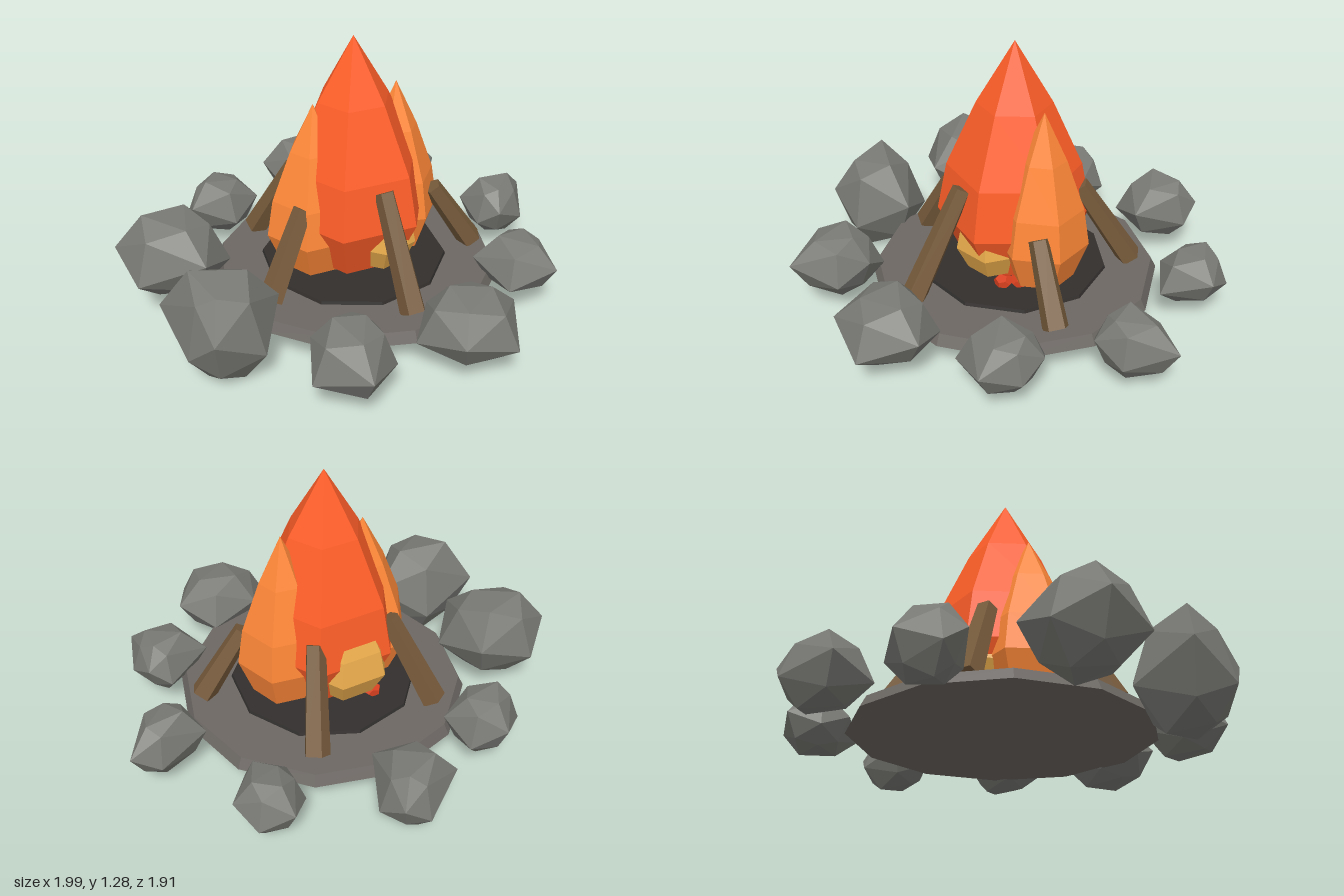
import * as THREE from 'three';
import { ConvexGeometry } from 'three/addons/geometries/ConvexGeometry.js';

const mat = (color) => new THREE.MeshStandardMaterial({ color, flatShading: true });

// Faceted stone: a wide waist following an x/z outline, with smaller rings above and below
function rockGeometry(y0, y1, outline) {
  const cx = outline.reduce((sum, p) => sum + p[0], 0) / outline.length;
  const cz = outline.reduce((sum, p) => sum + p[1], 0) / outline.length;
  const points = [];
  outline.forEach(([x, z], i) => {
    const odd = i % 2;
    const ring = (scale, level) => points.push(new THREE.Vector3(
      cx + (x - cx) * scale, y0 + (y1 - y0) * level, cz + (z - cz) * scale));
    ring(1, odd ? 0.36 : 0.6);
    ring(odd ? 0.68 : 0.48, odd ? 0.84 : 1 - 0.02 * i);
    ring(odd ? 0.48 : 0.68, odd ? 0.02 * (i - 1) : 0.18);
  });
  return new ConvexGeometry(points);
}

// Six-sided teardrop flame, closed at the bottom
function flameGeometry(radius, height) {
  const profile = [[0, 0], [0.7, 0], [1, 0.22], [0.87, 0.44], [0.48, 0.73], [0, 1]];
  return new THREE.LatheGeometry(
    profile.map(([r, y]) => new THREE.Vector2(r * radius, y * height)), 6);
}

export function createModel() {
  const group = new THREE.Group();
  const add = (name, geo, material, x = 0, y = 0, z = 0) => {
    const mesh = new THREE.Mesh(geo, material);
    mesh.name = name;
    mesh.position.set(x, y, z);
    group.add(mesh);
    return mesh;
  };

  // Ash bed and charred centre
  add('ashBed', new THREE.CylinderGeometry(0.645, 0.67, 0.05, 12), mat(0x6c6763), 0.033, 0.165, -0.03);
  add('charredCentre', new THREE.CylinderGeometry(0.43, 0.435, 0.015, 10), mat(0x322f2d), 0.025, 0.197, -0.035);

  // Ring of stones: bottom, top and outline of each
  const stone = mat(0x787874);
  [
    [0.08, 0.38, [[-0.24, -0.84], [-0.19, -0.93], [0, -0.96], [0.11, -0.84], [0.06, -0.68], [-0.12, -0.66]]],
    [0.09, 0.4, [[0.32, -0.87], [0.56, -0.88], [0.64, -0.8], [0.63, -0.68], [0.43, -0.53], [0.27, -0.66]]],
    [0.1, 0.36, [[0.87, -0.44], [0.97, -0.33], [0.95, -0.19], [0.74, -0.1], [0.67, -0.26], [0.72, -0.39]]],
    [0.08, 0.37, [[0.68, 0.15], [0.91, 0.21], [0.99, 0.31], [0.8, 0.44], [0.65, 0.4], [0.61, 0.3]]],
    [0.1, 0.37, [[0.24, 0.49], [0.48, 0.51], [0.53, 0.6], [0.5, 0.73], [0.37, 0.85], [0.18, 0.72]]],
    [0.08, 0.39, [[-0.18, 0.51], [0.03, 0.6], [0.06, 0.8], [-0.15, 0.95], [-0.36, 0.82], [-0.36, 0.58]]],
    [0.09, 0.4, [[-0.67, 0.27], [-0.47, 0.32], [-0.45, 0.45], [-0.52, 0.6], [-0.75, 0.65], [-0.83, 0.41]]],
    [0, 0.5, [[-0.91, -0.35], [-0.63, -0.25], [-0.55, 0], [-0.78, 0.13], [-0.98, 0.04], [-1, -0.1]]],
    [0.09, 0.49, [[-0.76, -0.8], [-0.55, -0.84], [-0.34, -0.67], [-0.41, -0.42], [-0.63, -0.35], [-0.83, -0.58]]],
  ].forEach((spec, i) => add('stone' + (i + 1), rockGeometry(...spec), stone));

  // Flames: name, x, bottom, z, radius, height, turn, colour
  const red = mat(0xff5e28);
  const orange = mat(0xff8838);
  const yellow = mat(0xeaac4c);
  [
    ['mainFlame', 0.025, 0.235, -0.035, 0.35, 1.05, 0, red],
    ['leftFlame', -0.14, 0.22, -0.13, 0.23, 0.78, 0, orange],
    ['rightFlame', 0.22, 0.23, 0.055, 0.21, 0.805, -0.17, orange],
    ['backInnerFlame', 0.08, 0.26, -0.18, 0.21, 0.55, 0, yellow],
    ['frontInnerFlame', 0.01, 0.25, 0.12, 0.175, 0.5, 0.3, yellow],
  ].forEach(([name, x, y, z, r, h, turn, material]) => {
    add(name, flameGeometry(r, h), material, x, y, z).rotation.y = turn;
  });

  // Glowing embers under the flames
  const ember = mat(0xd8401f);
  [[0.1, 0.19], [0.16, 0.15], [-0.02, -0.25], [0.03, -0.3]].forEach(([x, z], i) => {
    const coal = add('ember' + (i + 1), new THREE.DodecahedronGeometry(0.045), ember, x, 0.22, z);
    coal.scale.y = 0.7;
    coal.rotation.y = i;
  });

  // Leaning logs: foot and tip
  const wood = mat(0x765a3b);
  const up = new THREE.Vector3(0, 1, 0);
  [
    [[-0.08, 0.2, -0.56], [-0.04, 0.6, -0.33]],
    [[-0.5, 0.2, -0.09], [-0.29, 0.57, -0.07]],
    [[0.5, 0.2, -0.3], [0.29, 0.6, -0.16]],
    [[0.45, 0.2, 0.35], [0.29, 0.52, 0.22]],
    [[-0.2, 0.2, 0.46], [-0.09, 0.66, 0.22]],
  ].forEach(([a, b], i) => {
    const foot = new THREE.Vector3(...a);
    const axis = new THREE.Vector3(...b).sub(foot);
    const log = add('log' + (i + 1),
      new THREE.CylinderGeometry(0.045, 0.06, axis.length(), 5), wood);
    log.position.copy(foot).addScaledVector(axis, 0.5);
    log.quaternion.setFromUnitVectors(up, axis.normalize());
  });

  return group;
}
